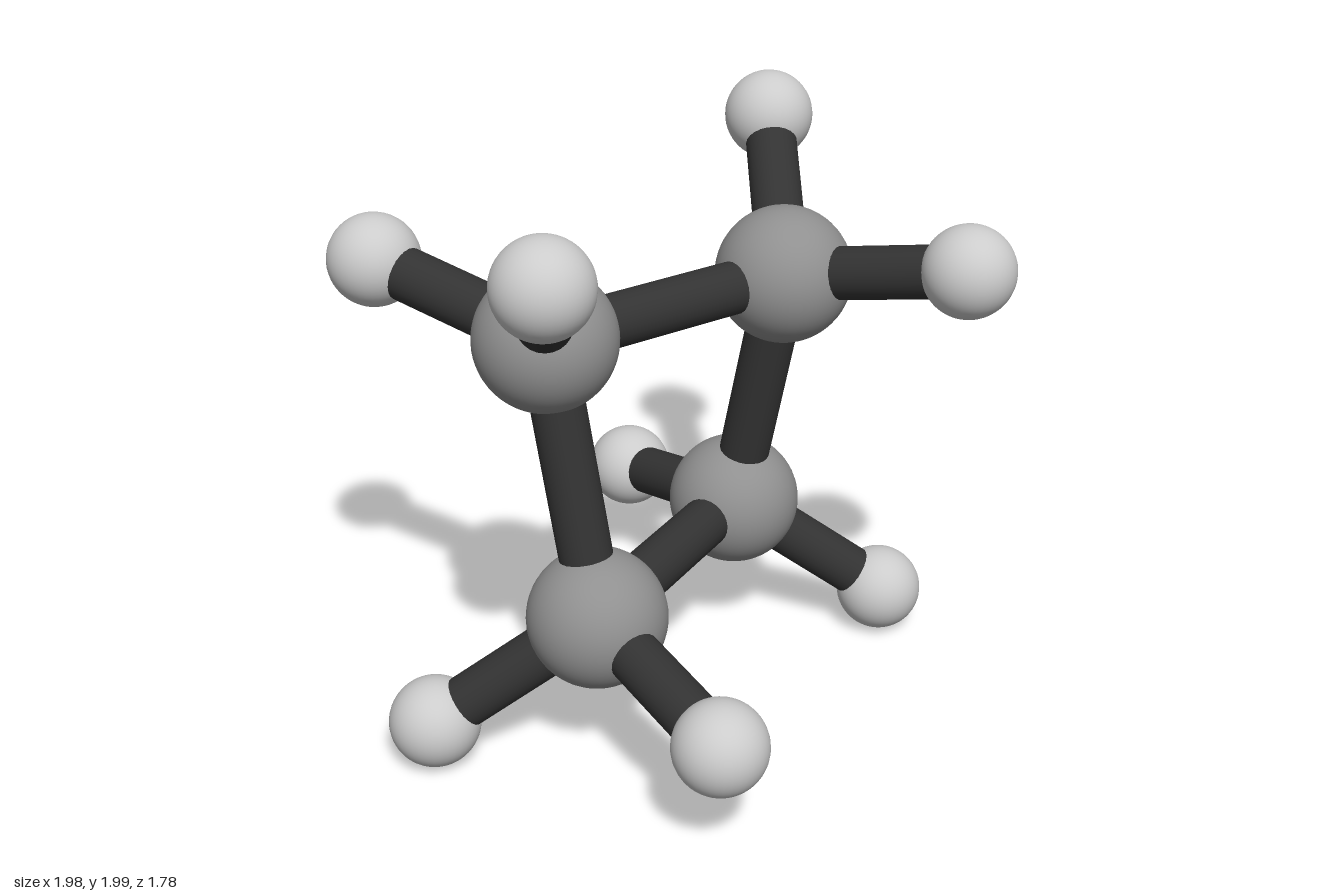
import * as THREE from 'three';

const carbonMat = new THREE.MeshStandardMaterial({ color: 0x909090 });
const hydrogenMat = new THREE.MeshStandardMaterial({ color: 0xcccccc });
const bondMat = new THREE.MeshStandardMaterial({ color: 0x333333 });

const carbonGeo = new THREE.SphereGeometry(0.23, 48, 32);
const hydrogenGeo = new THREE.SphereGeometry(0.152, 40, 28);

function addAtom(group, name, geometry, material, position) {
  const mesh = new THREE.Mesh(geometry, material);
  mesh.name = name;
  mesh.position.copy(position);
  group.add(mesh);
}

// Rod joining the centres of two atoms
function addBond(group, name, a, b) {
  const dir = b.clone().sub(a);
  const mesh = new THREE.Mesh(new THREE.CylinderGeometry(0.088, 0.088, dir.length(), 24), bondMat);
  mesh.name = name;
  mesh.position.copy(a).add(b).multiplyScalar(0.5);
  mesh.quaternion.setFromUnitVectors(new THREE.Vector3(0, 1, 0), dir.normalize());
  group.add(mesh);
}

export function createModel() {
  const model = new THREE.Group();
  model.name = 'squareRingMolecule';

  // Corners in ring order; the ring is puckered, so z alternates in sign
  const corners = [[-1, 1], [1, 1], [1, -1], [-1, -1]];
  const carbons = corners.map(([sx, sy]) =>
    new THREE.Vector3(0.458 * sx, 1.003 + 0.457 * sy, 0.1 * sx * sy));

  corners.forEach(([sx, sy], i) => {
    const c = carbons[i];
    const sz = sx * sy;
    const corner = new THREE.Group();
    corner.name = `corner${i + 1}`;
    addAtom(corner, 'carbonAtom', carbonGeo, carbonMat, c);

    // One hydrogen continues the pucker, the other leans outward on the far side
    const hydrogens = [
      new THREE.Vector3(0.59 * sx, 1.003 + 0.593 * sy, 0.737 * sz),
      new THREE.Vector3(0.836 * sx, 1.003 + 0.842 * sy, -0.285 * sz),
    ];
    for (const h of hydrogens) {
      addAtom(corner, 'hydrogenAtom', hydrogenGeo, hydrogenMat, h);
      addBond(corner, 'hydrogenBond', c, h);
    }
    model.add(corner);

    addBond(model, 'ringBond', c, carbons[(i + 1) % 4]);
  });

  return model;
}
